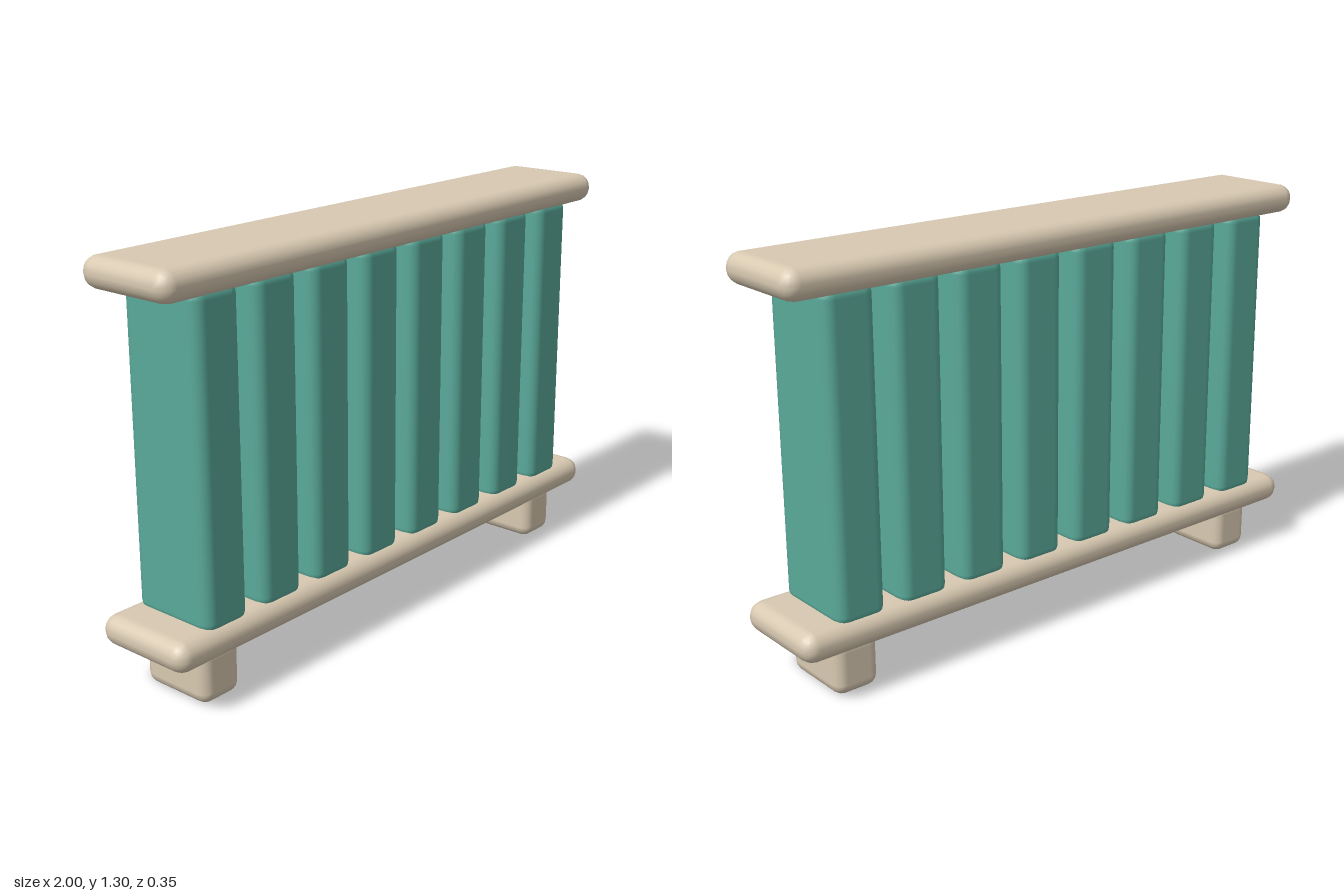
import * as THREE from 'three';
import { RoundedBoxGeometry } from 'three/addons/geometries/RoundedBoxGeometry.js';

export function createModel() {
  const model = new THREE.Group();
  model.name = 'radiator';
  const cream = new THREE.MeshStandardMaterial({ color: 0xd8c9b1 });
  cream.name = 'cream';
  const teal = new THREE.MeshStandardMaterial({ color: 0x5aaa9a });
  teal.name = 'teal';

  // rounded block spanning y0..y1
  const block = (name, material, w, y0, y1, d, x, radius) => {
    const geometry = new RoundedBoxGeometry(w, y1 - y0, d, 2, radius);
    const mesh = new THREE.Mesh(geometry, material);
    mesh.name = name;
    mesh.position.set(x, (y0 + y1) / 2, 0);
    model.add(mesh);
  };

  // top and bottom rails
  block('topRail', cream, 2, 1.205, 1.3, 0.346, 0, 0.046);
  block('bottomRail', cream, 2, 0.155, 0.25, 0.346, 0, 0.046);

  // eight upright columns, their ends set into the rails
  const count = 8;
  const spacing = 0.2255;
  for (let i = 0; i < count; i++) {
    const x = (i - (count - 1) / 2) * spacing;
    block('column' + (i + 1), teal, 0.168, 0.225, 1.23, 0.296, x, 0.036);
  }

  // two feet
  for (const side of [-1, 1]) {
    block(side > 0 ? 'leftFoot' : 'rightFoot', cream, 0.15, 0, 0.175, 0.254, side * 0.8, 0.036);
  }
  return model;
}
